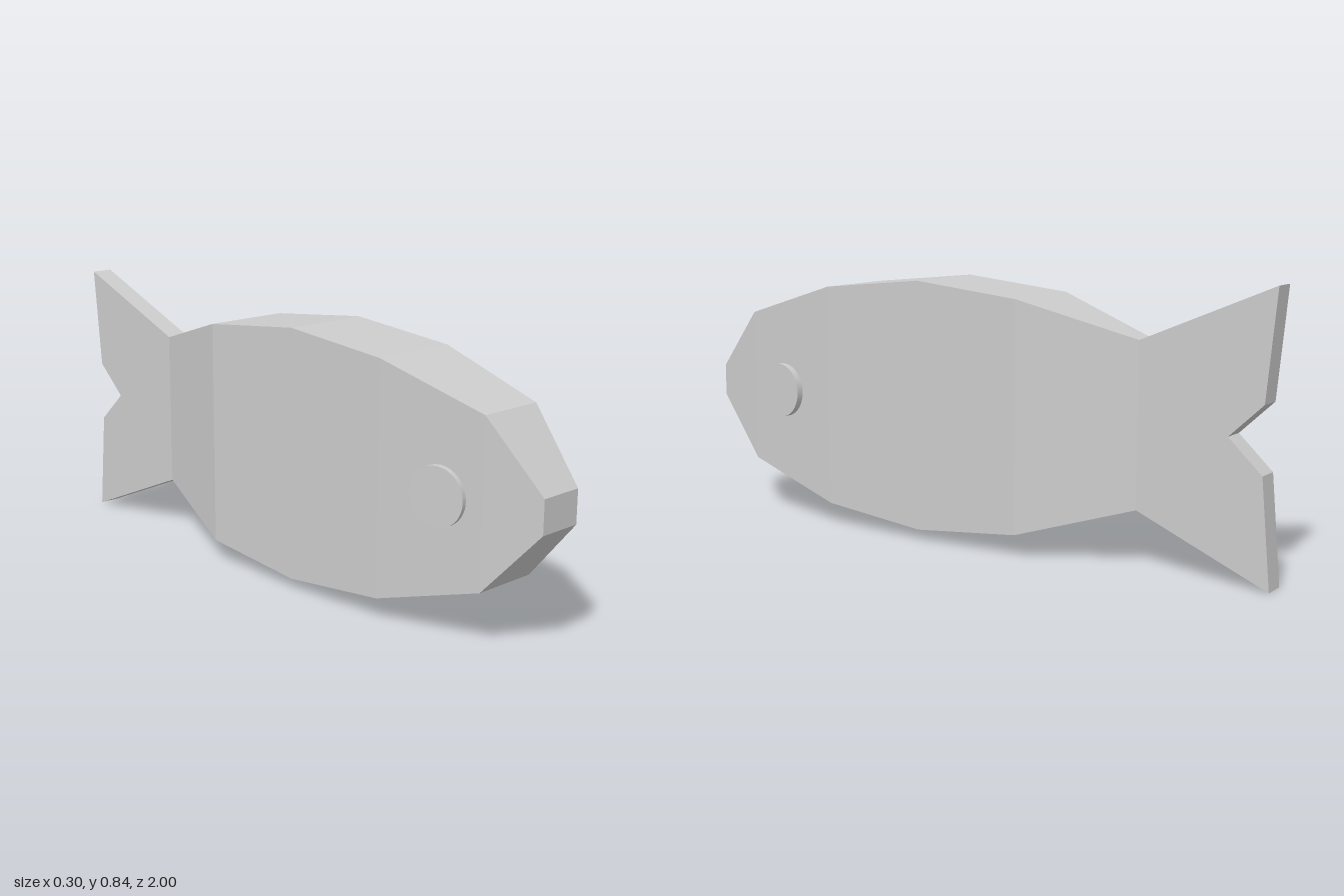
import * as THREE from 'three';

const grey = new THREE.MeshStandardMaterial({ color: 0xcccccc, flatShading: true });
const smoothGrey = new THREE.MeshStandardMaterial({ color: 0xcccccc });
const midY = 0.42;

// Joins rectangular cross-sections [z, half width, half height], listed front to back
function loftBody(sections) {
  const rings = sections.map(([z, w, h]) => [
    [-w, midY - h, z], [w, midY - h, z], [w, midY + h, z], [-w, midY + h, z],
  ]);
  const positions = [];
  const quad = (a, b, c, d) => positions.push(...a, ...b, ...c, ...a, ...c, ...d);
  quad(...rings[0]);
  for (let i = 0; i < rings.length - 1; i++) {
    const near = rings[i], far = rings[i + 1];
    for (let j = 0; j < 4; j++) {
      const k = (j + 1) % 4;
      quad(near[j], far[j], far[k], near[k]);
    }
  }
  quad(...[...rings[rings.length - 1]].reverse());
  const geometry = new THREE.BufferGeometry();
  geometry.setAttribute('position', new THREE.Float32BufferAttribute(positions, 3));
  geometry.computeVertexNormals();
  return geometry;
}

export function createModel() {
  const model = new THREE.Group();
  model.name = 'fish';

  const add = (name, geometry, material) => {
    const mesh = new THREE.Mesh(geometry, material);
    mesh.name = name;
    model.add(mesh);
    return mesh;
  };

  // Faceted body, from blunt mouth to tail root
  add('body', loftBody([
    [1, 0.071, 0.05],
    [0.825, 0.106, 0.246],
    [0.475, 0.14, 0.35],
    [0.12, 0.14, 0.386],
    [-0.235, 0.14, 0.35],
    [-0.585, 0.035, 0.246],
  ]), grey);

  // Forked tail fin: outline drawn as (-z, y), then turned to face sideways
  const outline = [
    [0.585, -0.246], [1, -0.42], [0.97, -0.098], [0.865, 0],
    [0.97, 0.098], [1, 0.42], [0.585, 0.246],
  ].map(([x, y]) => new THREE.Vector2(x, y + midY));
  const tail = new THREE.ExtrudeGeometry(new THREE.Shape(outline), { depth: 0.07, bevelEnabled: false });
  tail.translate(0, 0, -0.035).rotateY(Math.PI / 2);
  add('tailFin', tail, grey);

  // Disc eyes, tilted to follow the narrowing head
  for (const [name, side] of [['leftEye', 1], ['rightEye', -1]]) {
    const disc = new THREE.CylinderGeometry(0.087, 0.087, 0.05, 32);
    disc.translate(0, -0.025, 0).rotateZ(-side * Math.PI / 2).rotateY(-side * 0.133);
    add(name, disc, smoothGrey).position.set(side * 0.138, midY, 0.688);
  }

  return model;
}
